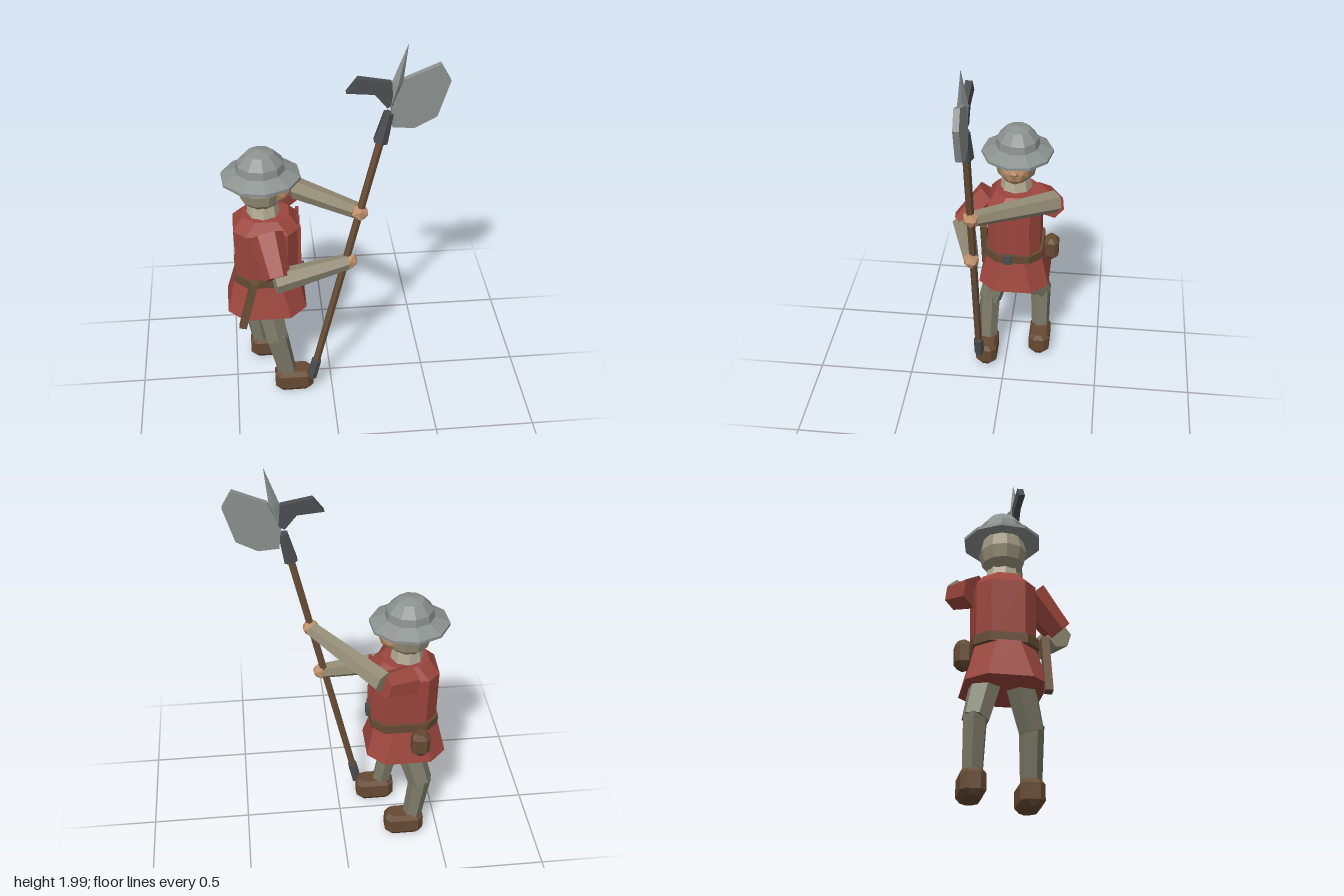
import * as THREE from 'three';

const V = (x, y, z) => new THREE.Vector3(x, y, z);
const mat = (color) => new THREE.MeshStandardMaterial({ color, flatShading: true, side: THREE.DoubleSide });

export function createModel() {
  const model = new THREE.Group();
  const red = mat(0x9c463d), sleeve = mat(0x948c76), cloth = mat(0x7b7a68), brown = mat(0x664a33);
  const wood = mat(0x6b5038), skin = mat(0xc0906a), steel = mat(0x8c9290), dark = mat(0x4b4e51);
  const coif = mat(0x9b937b), linen = mat(0xb5ac95);
  const bodyX = -0.325, bodyZ = -0.038;

  const add = (name, geo, material, parent = model) => {
    const mesh = new THREE.Mesh(geo, material);
    mesh.name = name;
    parent.add(mesh);
    return mesh;
  };

  // Tapered prism running from a to b
  const limb = (name, a, b, ra, rb, material, sides = 6) => {
    const mesh = add(name, new THREE.CylinderGeometry(rb, ra, a.distanceTo(b), sides), material);
    mesh.position.copy(a).lerp(b, 0.5);
    mesh.quaternion.setFromUnitVectors(V(0, 1, 0), b.clone().sub(a).normalize());
    return mesh;
  };

  // Stack of chamfered rectangles, rows of [y, halfX, halfZ]
  const loft = (name, rows, chamfer, material, x, z) => {
    const rings = rows.map(([y, hx, hz]) => {
      const c = Math.min(chamfer, hx * 0.8, hz * 0.8);
      return [[hx, -hz + c], [hx, hz - c], [hx - c, hz], [-hx + c, hz],
        [-hx, hz - c], [-hx, -hz + c], [-hx + c, -hz], [hx - c, -hz]].map(([px, pz]) => [px, y, pz]);
    });
    const pos = [];
    const last = rings.length - 1;
    for (let i = 0; i < 8; i++) {
      const j = (i + 1) % 8;
      for (let r = 0; r < last; r++) {
        const p = rings[r], q = rings[r + 1];
        pos.push(...p[i], ...q[i], ...p[j], ...p[j], ...q[i], ...q[j]);
      }
      pos.push(0, rows[0][0], 0, ...rings[0][i], ...rings[0][j]);
      pos.push(0, rows[last][0], 0, ...rings[last][j], ...rings[last][i]);
    }
    const geo = new THREE.BufferGeometry();
    geo.setAttribute('position', new THREE.Float32BufferAttribute(pos, 3));
    geo.computeVertexNormals();
    const mesh = add(name, geo, material);
    mesh.position.set(x, 0, z);
    return mesh;
  };

  // Flat plate in the xy plane, centred on depth z
  const plate = (name, points, depth, z, material) => {
    const shape = new THREE.Shape(points.map(([x, y]) => new THREE.Vector2(x, y)));
    const mesh = add(name, new THREE.ExtrudeGeometry(shape, { depth, bevelEnabled: false }), material);
    mesh.position.z = z - depth / 2;
    return mesh;
  };

  const ball = (name, p, r, material, scale = [1, 1, 1], detail = 0) => {
    const mesh = add(name, new THREE.IcosahedronGeometry(r, detail), material);
    mesh.position.copy(p);
    mesh.scale.set(...scale);
    return mesh;
  };

  // Coat
  loft('coatBody', [[0.68, 0.157, 0.135], [0.98, 0.162, 0.137], [1.04, 0.115, 0.1]], 0.06, red, bodyX + 0.01, bodyZ);
  loft('coatSkirt', [[0.5, 0.2, 0.185], [0.69, 0.155, 0.135]], 0.085, red, bodyX, bodyZ);
  for (const dz of [-0.08, 0, 0.08]) {
    const rib = add('coatRib', new THREE.BoxGeometry(0.016, 0.27, 0.012), red);
    rib.position.set(-0.155, 0.865, bodyZ + dz);
  }

  // Belt with buckle, pouch and dagger
  loft('belt', [[0.675, 0.17, 0.15], [0.72, 0.17, 0.15]], 0.065, brown, bodyX + 0.013, bodyZ);
  add('buckle', new THREE.BoxGeometry(0.02, 0.05, 0.046), dark).position.set(-0.14, 0.698, -0.012);
  loft('pouch', [[0.57, 0.03, 0.025], [0.595, 0.045, 0.04], [0.675, 0.045, 0.04], [0.7, 0.03, 0.025]],
    0.02, brown, -0.38, -0.225);
  const dagger = add('dagger', new THREE.BoxGeometry(0.036, 0.29, 0.036), wood);
  dagger.position.set(-0.42, 0.6, 0.142);
  dagger.rotation.z = -0.24;

  // Legs and shoes
  const legs = [
    ['left', V(-0.33, 0.56, 0.035), V(-0.285, 0.33, 0.098), V(-0.235, 0.11, 0.103), -0.2],
    ['right', V(-0.33, 0.56, -0.11), V(-0.4, 0.33, -0.172), V(-0.365, 0.11, -0.177), -0.32],
  ];
  for (const [side, hip, knee, ankle, footX] of legs) {
    limb(side + 'Thigh', hip, knee, 0.075, 0.062, cloth);
    limb(side + 'Shin', knee.clone().add(V(0, 0.03, 0)), ankle, 0.057, 0.049, cloth);
    loft(side + 'Shoe', [[0, 0.085, 0.04], [0.025, 0.1, 0.056], [0.1, 0.1, 0.056], [0.125, 0.085, 0.04]],
      0.027, brown, footX, ankle.z);
  }

  // Arms gripping the shaft
  limb('leftUpperArm', V(-0.315, 0.985, 0.09), V(-0.275, 0.83, 0.235), 0.085, 0.065, red);
  limb('leftForearm', V(-0.29, 0.808, 0.235), V(0.075, 0.842, 0.147), 0.061, 0.04, sleeve);
  ball('leftHand', V(0.083, 0.843, 0.145), 0.043, skin);
  limb('rightUpperArm', V(-0.32, 0.985, -0.16), V(-0.18, 1.02, -0.24), 0.08, 0.064, red);
  limb('rightForearm', V(-0.185, 1.045, -0.245), V(0.122, 1.12, 0.118), 0.058, 0.04, sleeve);
  ball('rightHand', V(0.13, 1.122, 0.135), 0.045, skin);

  // Head
  limb('neck', V(bodyX, 1.02, bodyZ), V(bodyX, 1.11, bodyZ), 0.085, 0.07, linen, 8);
  const hood = add('coif', new THREE.SphereGeometry(0.125, 10, 6), coif);
  hood.position.set(-0.33, 1.185, bodyZ);
  hood.scale.set(0.95, 0.95, 0.9);
  ball('face', V(-0.265, 1.185, bodyZ), 0.088, skin, [1, 1, 0.95], 1);
  const nose = add('nose', new THREE.IcosahedronGeometry(0.025), skin);
  nose.position.set(-0.182, 1.197, bodyZ);

  // Kettle hat
  const hatProfile = [[0.1, 1.25], [0.196, 1.235], [0.196, 1.25], [0.122, 1.283], [0.115, 1.322], [0.068, 1.372], [0, 1.388]];
  const hat = add('hat', new THREE.LatheGeometry(hatProfile.map(([r, y]) => new THREE.Vector2(r, y)), 10), steel);
  hat.position.set(-0.33, 0, -0.042);
  hat.rotation.y = 0.1;
  hat.scale.z = 0.93;

  // Polearm: leaning shaft with ferrule, socket, spike, beak and axe blade
  const z = 0.138;
  const along = (y) => V(-0.106 + (y - 0.095) * 0.2286, y, z);
  limb('shaft', along(0.1), along(1.56), 0.019, 0.019, wood);
  limb('ferrule', along(0.085), along(0.2), 0.026, 0.026, dark);
  limb('socket', along(1.51), along(1.66), 0.036, 0.025, dark);
  limb('spikeBase', along(1.69), along(1.81), 0.014, 0.026, steel, 4);
  limb('spike', along(1.8), along(1.99), 0.026, 0.001, steel, 4);
  plate('axeBlade', [[0.26, 1.69], [0.27, 1.587], [0.37, 1.58], [0.471, 1.634], [0.524, 1.81],
    [0.476, 1.893], [0.317, 1.825]], 0.028, z - 0.003, steel);
  plate('beak', [[0.058, 1.77], [0.185, 1.758], [0.243, 1.687], [0.27, 1.705], [0.26, 1.812], [0.11, 1.84]],
    0.032, z - 0.003, dark);

  return model;
}
